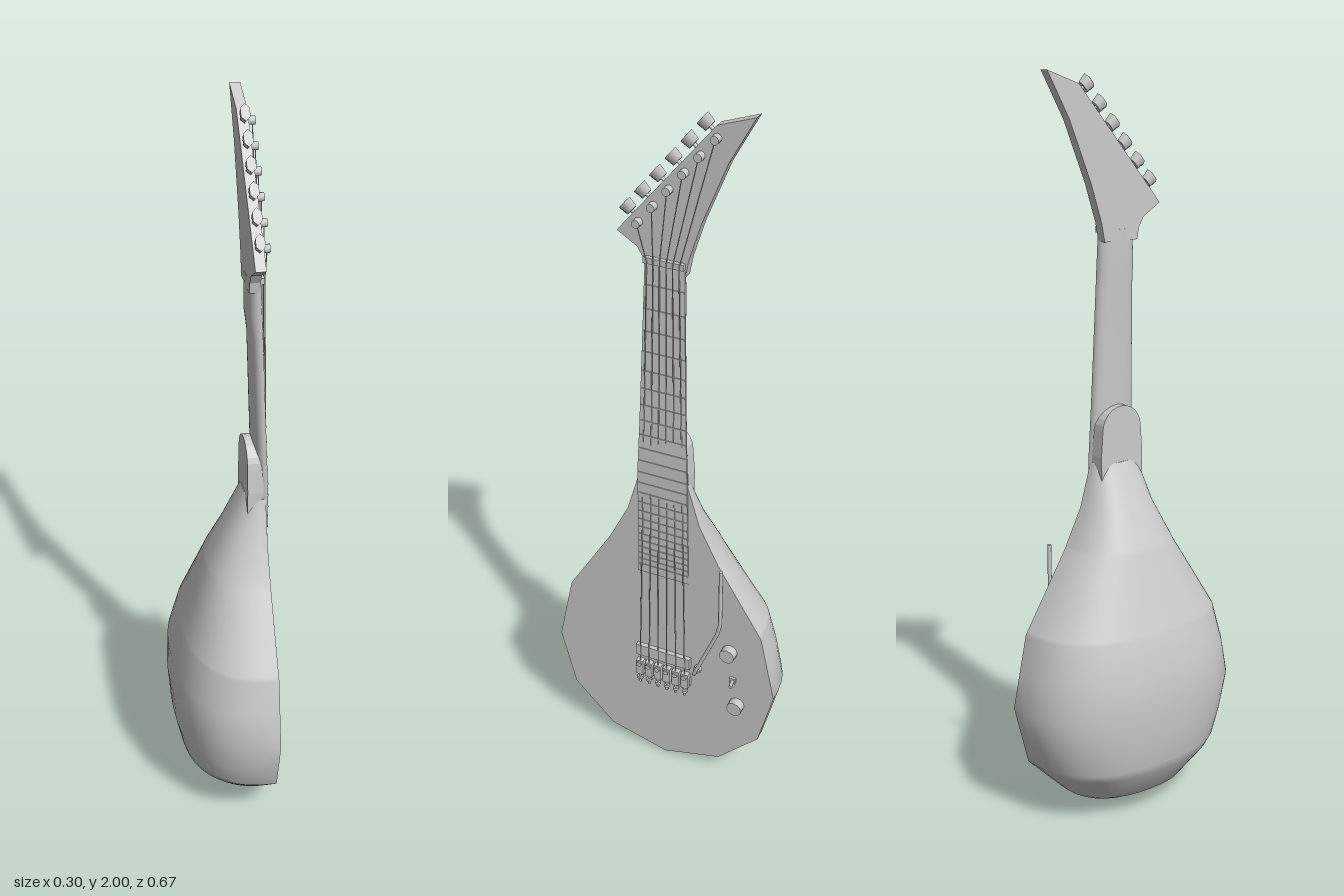
import * as THREE from 'three';

const grey = new THREE.MeshStandardMaterial({ color: 0xcccccc, side: THREE.DoubleSide });
const V = (x, y, z) => new THREE.Vector3(x, y, z);

function add(parent, name, geometry, x = 0, y = 0, z = 0) {
  const mesh = new THREE.Mesh(geometry, grey);
  mesh.name = name;
  mesh.position.set(x, y, z);
  parent.add(mesh);
  return mesh;
}

// Rod between two points
function rod(parent, name, a, b, r, sides = 6) {
  const dir = b.clone().sub(a);
  const mesh = add(parent, name, new THREE.CylinderGeometry(r, r, dir.length(), sides));
  mesh.position.copy(a).add(b).multiplyScalar(0.5);
  mesh.quaternion.setFromUnitVectors(V(0, 1, 0), dir.normalize());
  return mesh;
}

// Cylinder standing on the face, pointing forward
function stud(parent, name, x, y, z0, z1, r, sides = 10) {
  return rod(parent, name, V(x, y, z0), V(x, y, z1), r, sides);
}

// Flat front with a rounded back; rows are [y, half width, front z, back z]
function loft(rows, power, n = 20) {
  const pos = [], idx = [];
  const bend = (v) => Math.sign(v) * Math.pow(Math.abs(v), 2 / power);
  for (const [y, w, front, back] of rows) {
    for (let j = 0; j <= n; j++) {
      const t = (j / n) * Math.PI;
      pos.push(w * bend(Math.cos(t)), y, front - (front - back) * bend(Math.sin(t)));
    }
  }
  const base = pos.length / 3;
  for (const [y, w, front] of rows) pos.push(-w, y, front, w, y, front);
  for (let i = 0; i < rows.length - 1; i++) {
    for (let j = 0; j < n; j++) {
      const a = i * (n + 1) + j, c = a + n + 1;
      idx.push(a, a + 1, c, a + 1, c + 1, c);
    }
    const l = base + i * 2;
    idx.push(l, l + 1, l + 2, l + 1, l + 3, l + 2);
  }
  // End caps, with their own corners
  for (const [i, flip] of [[0, false], [rows.length - 1, true]]) {
    const start = pos.length / 3;
    for (let j = 0; j <= n; j++) {
      const k = (i * (n + 1) + j) * 3;
      pos.push(pos[k], pos[k + 1], pos[k + 2]);
    }
    for (let j = 1; j < n; j++) {
      if (flip) idx.push(start, start + j, start + j + 1);
      else idx.push(start, start + j + 1, start + j);
    }
  }
  const g = new THREE.BufferGeometry();
  g.setAttribute('position', new THREE.Float32BufferAttribute(pos, 3));
  g.setIndex(idx);
  g.computeVertexNormals();
  return g;
}

// Straight-line lookup in a list of [y, value]
function lookup(list, y) {
  for (let i = 1; i < list.length; i++) {
    const [y0, v0] = list[i - 1], [y1, v1] = list[i];
    if (y <= y1) return v0 + ((v1 - v0) * (y - y0)) / (y1 - y0);
  }
  return list[list.length - 1][1];
}

function plate(points, depth) {
  const shape = new THREE.Shape(points.map(([x, y]) => new THREE.Vector2(x, y)));
  return new THREE.ExtrudeGeometry(shape, { depth, bevelEnabled: false });
}

export function createModel() {
  const model = new THREE.Group();
  model.name = 'bowlBackGuitar';
  // Built facing +z, then turned so the strings face +x
  const guitar = new THREE.Group();
  guitar.name = 'guitar';
  guitar.rotation.y = Math.PI / 2;
  model.add(guitar);

  // Bowl body: angular face outline, rounded back
  const FACE = 0.105;
  const widths = [[0.005, 0.002], [0.05, 0.17], [0.17, 0.29], [0.34, 0.333], [0.54, 0.29],
    [0.75, 0.16], [0.86, 0.105], [0.98, 0.07]];
  const backs = [[0.005, 0.1], [0.02, 0.01], [0.065, -0.07], [0.145, -0.123], [0.24, -0.143], [0.34, -0.15],
    [0.44, -0.147], [0.55, -0.117], [0.765, -0.045], [0.98, 0.055]];
  const heights = [...new Set([...widths, ...backs].map(([y]) => y))].sort((a, b) => a - b);
  add(guitar, 'body', loft(heights.map((y) => [y, lookup(widths, y), FACE, lookup(backs, y)]), 2.5, 28));

  // Heel with an arched top
  const arch = [[-0.068, 0.92], [0.068, 0.92], [0.069, 1.0]];
  for (let i = 0; i <= 12; i++) {
    const t = (i / 12) * Math.PI;
    arch.push([0.064 * Math.cos(t), 1.07 + 0.064 * Math.sin(t)]);
  }
  arch.push([-0.069, 1.0]);
  add(guitar, 'heel', plate(arch, 0.042), 0, 0, 0.057);

  // Neck with fingerboard
  const neckRows = [[0.66, 0.075, 0.108, 0.09], [1.0, 0.071, 0.111, 0.08], [1.13, 0.066, 0.106, 0.077],
    [1.44, 0.057, 0.094, 0.065], [1.5, 0.056, 0.091, 0.057], [1.6, 0.053, 0.087, 0.057]];
  add(guitar, 'neck', loft(neckRows, 2.4));

  // Frets, spaced by the twelfth root of two
  const NUT = 1.6, BRIDGE = 0.38;
  const faces = neckRows.map((r) => [r[0], r[2]]);
  const halves = neckRows.map((r) => [r[0], r[1]]);
  for (let n = 1; n <= 24; n++) {
    const y = BRIDGE + (NUT - BRIDGE) * Math.pow(2, -n / 12);
    add(guitar, 'fret', new THREE.BoxGeometry(lookup(halves, y) * 1.94, 0.004, 0.004), 0, y, lookup(faces, y));
  }
  add(guitar, 'nut', new THREE.BoxGeometry(0.108, 0.016, 0.016), 0, NUT, 0.088);

  // Swept headstock
  add(guitar, 'headstock', plate([[-0.053, 1.57], [0.053, 1.57], [0.063, 1.62], [0.095, 1.72], [0.16, 1.88],
    [0.226, 2.0], [0.13, 1.966], [-0.107, 1.685], [-0.127, 1.66], [-0.074, 1.627], [-0.058, 1.6]], 0.027),
  0, 0, 0.058);

  // Tuners and strings, one of each per course
  const out = V(-0.77, 0.635, 0);
  for (let i = 0; i < 6; i++) {
    const f = i / 5;
    const post = V(-0.069 + 0.201 * f, 1.693 + 0.244 * f, 0.085);
    stud(guitar, 'tunerPost', post.x, post.y, 0.08, 0.104, 0.011);
    const tuner = new THREE.Group();
    tuner.name = 'tuner';
    tuner.position.set(post.x, post.y, 0.072);
    tuner.quaternion.setFromUnitVectors(V(0, 1, 0), out);
    guitar.add(tuner);
    add(tuner, 'tunerShaft', new THREE.CylinderGeometry(0.005, 0.005, 0.03, 8), 0, 0.02, 0);
    add(tuner, 'tunerKey', new THREE.CylinderGeometry(0.022, 0.018, 0.026, 6).rotateY(Math.PI / 6)
      .scale(1, 1, 0.6), 0, 0.043, 0);

    const bx = -0.07 + 0.14 * f, nx = -0.043 + 0.086 * f;
    const atNut = V(nx, NUT, 0.098);
    rod(guitar, 'string', V(bx, 0.31, 0.12), atNut, 0.0015, 5);
    rod(guitar, 'stringEnd', atNut, V(post.x, post.y, 0.097), 0.0015, 5);

    // Saddle with its fine tuning screw
    add(guitar, 'saddle', new THREE.BoxGeometry(0.022, 0.05, 0.016), bx, 0.32, 0.116);
    rod(guitar, 'saddleScrew', V(bx, 0.265, 0.119), V(bx, 0.3, 0.119), 0.004, 6);
    rod(guitar, 'saddleScrewHead', V(bx, 0.278, 0.119), V(bx, 0.286, 0.119), 0.009, 8);
    stud(guitar, 'fineTuner', bx, 0.335, 0.118, 0.126, 0.004, 8);
    stud(guitar, 'fineTunerHead', bx, 0.335, 0.126, 0.13, 0.008, 8);
  }

  // Bridge plates
  add(guitar, 'bridgeBar', new THREE.BoxGeometry(0.165, 0.036, 0.016), 0, 0.38, 0.11);
  add(guitar, 'bridgePlate', new THREE.BoxGeometry(0.165, 0.03, 0.01), 0, 0.313, 0.108);

  // Tremolo arm
  const path = new THREE.CurvePath();
  const pts = [V(0.105, 0.37, 0.105), V(0.105, 0.37, 0.134), V(0.109, 0.38, 0.14), V(0.176, 0.545, 0.14),
    V(0.184, 0.58, 0.14), V(0.184, 0.76, 0.14)];
  for (let i = 1; i < pts.length; i++) path.add(new THREE.LineCurve3(pts[i - 1], pts[i]));
  add(guitar, 'tremoloArm', new THREE.TubeGeometry(path, 60, 0.0055, 8));
  rod(guitar, 'tremoloArmTip', V(0.184, 0.755, 0.14), V(0.184, 0.762, 0.14), 0.0055, 8);
  stud(guitar, 'tremoloSocket', 0.105, 0.37, 0.1, 0.118, 0.011);

  // Knobs and switch
  for (const [x, y] of [[0.2, 0.465], [0.225, 0.28]]) {
    stud(guitar, 'knob', x, y, 0.1, 0.13, 0.022, 12);
  }
  add(guitar, 'switchBase', new THREE.BoxGeometry(0.018, 0.018, 0.01), 0.211, 0.366, 0.107);
  rod(guitar, 'switchLever', V(0.211, 0.366, 0.108), V(0.217, 0.366, 0.137), 0.005, 8);

  return model;
}
